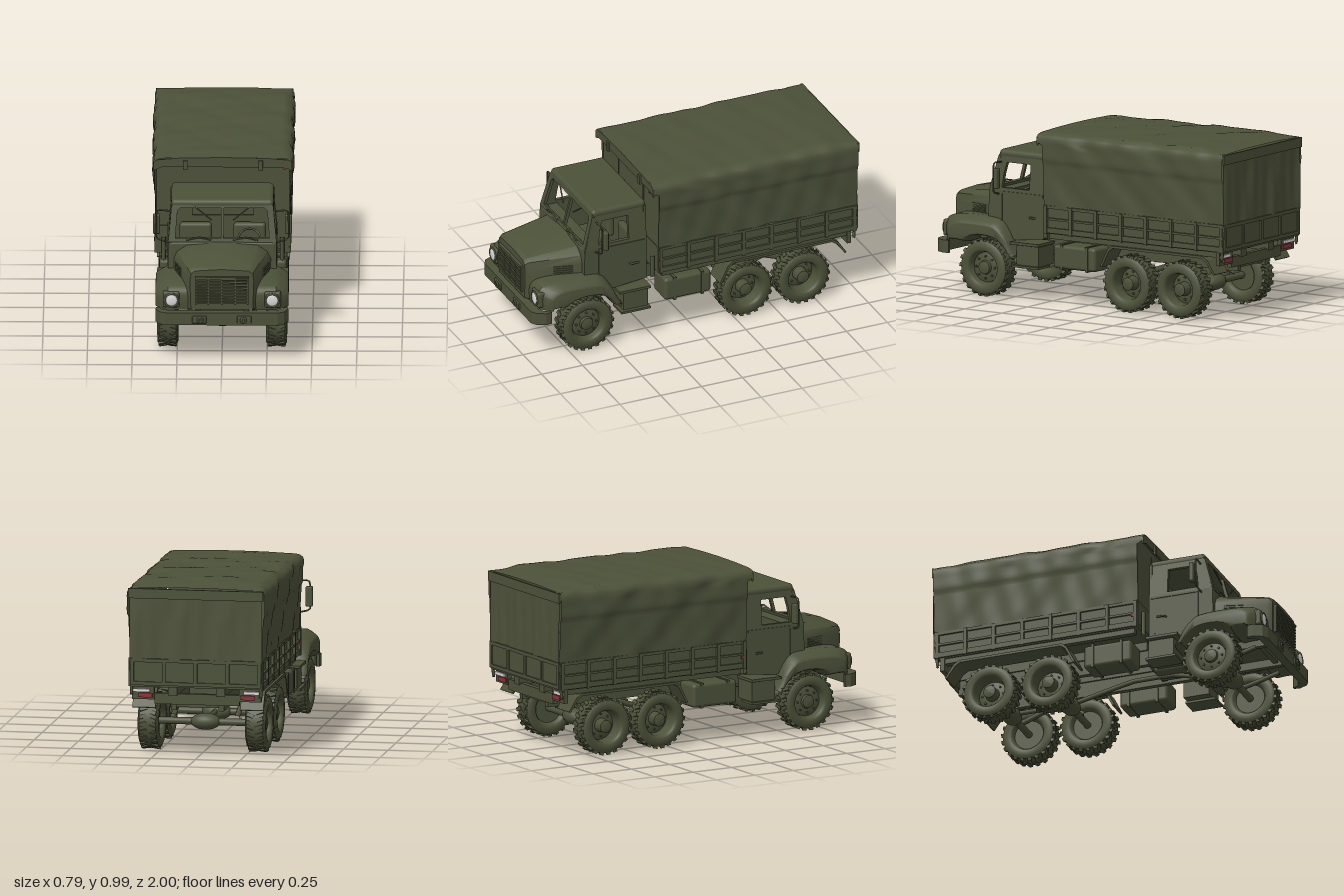
import * as THREE from 'three';
import { mergeGeometries, toCreasedNormals } from 'three/addons/utils/BufferGeometryUtils.js';
import { RoundedBoxGeometry } from 'three/addons/geometries/RoundedBoxGeometry.js';

const paint = (name, color, side = THREE.FrontSide) => {
  const m = new THREE.MeshStandardMaterial({ color, side });
  m.name = name;
  return m;
};
const V2 = (p) => new THREE.Vector2(p[0], p[1]);
const V3 = (p) => new THREE.Vector3(...p);
const SIDES = [-1, 1];

export function createModel() {
  const olive = paint('olivePaint', 0x4c5139);
  const canvas = paint('oliveCanvas', 0x4c5139, THREE.DoubleSide);
  const white = paint('whiteLens', 0xdcdcdc);
  const red = paint('redLens', 0x8c3038);
  const truck = new THREE.Group();
  truck.name = 'truck';

  const add = (name, geo, mat = olive, parent = truck) => {
    const m = new THREE.Mesh(geo, mat);
    m.name = name;
    parent.add(m);
    return m;
  };
  // box given by its limits on each axis
  const box = (name, [x0, x1], [y0, y1], [z0, z1], mat, r = 0) => {
    const s = [Math.abs(x1 - x0), y1 - y0, z1 - z0];
    const g = r ? new RoundedBoxGeometry(...s, 3, r) : new THREE.BoxGeometry(...s);
    return add(name, g.translate((x0 + x1) / 2, (y0 + y1) / 2, (z0 + z1) / 2), mat);
  };
  const rod = (name, pts, r) =>
    add(name, new THREE.TubeGeometry(new THREE.CatmullRomCurve3(pts.map(V3), false, 'catmullrom', 0.1), 16, r, 8));
  // (z, y) outline extruded between two x values
  const plateX = (shape, xa, xb, opts = {}) => {
    const b = opts.bevelThickness || 0;
    return new THREE.ExtrudeGeometry(shape, { depth: Math.abs(xb - xa) - 2 * b, bevelEnabled: b > 0, ...opts })
      .rotateY(-Math.PI / 2).translate(Math.max(xa, xb) - b, 0, 0);
  };
  const rect = (x0, x1, y0, y1) => [[x0, y0], [x1, y0], [x1, y1], [x0, y1]].map(V2);

  // ---------- wheels ----------
  const lugs = [];
  for (let i = 0; i < 44; i++) {
    const a = (i / 44) * Math.PI * 2, s = i % 2 ? 1 : -1;
    lugs.push(new THREE.BoxGeometry(0.014, 0.042, 0.022).rotateX(s * 0.35).rotateZ(-s * 0.12)
      .translate(0.1525, s * 0.027, 0).rotateY(a));
  }
  const lugGeo = mergeGeometries(lugs).rotateZ(-Math.PI / 2);
  const wheel = (side, z, rear) => {
    const d = rear ? -0.025 : 0.015;
    const prof = [[0, -0.03], [0.085, -0.03], [0.095, -0.052], [0.105, -0.058], [0.135, -0.058], [0.15, -0.047], [0.155, 0],
      [0.15, 0.047], [0.135, 0.058], [0.105, 0.058], [0.095, 0.052], [0.09, 0.04], [0.084, d], [0.05, d + 0.012],
      [0.04, d + 0.012], [0.036, 0.042], [0.015, 0.048], [0, 0.048]];
    const g = new THREE.Group();
    g.name = rear ? 'rearWheel' : 'frontWheel';
    add('tyreAndRim', toCreasedNormals(new THREE.LatheGeometry(prof.map(V2), 40).rotateZ(-Math.PI / 2), 0.7), olive, g);
    add('treadLugs', lugGeo, olive, g);
    const bolts = [];
    for (let i = 0; i < 8; i++)
      bolts.push(new THREE.CylinderGeometry(0.006, 0.006, 0.012, 6).translate(0.062, d + 0.012, 0).rotateY(i * Math.PI / 4));
    add('wheelBolts', mergeGeometries(bolts).rotateZ(-Math.PI / 2), olive, g);
    g.position.set(side * 0.303, 0.162, z);
    if (side < 0) g.rotation.y = Math.PI;
    truck.add(g);
  };
  for (const z of [0.65, -0.32, -0.67]) {
    for (const s of SIDES) wheel(s, z, z < 0);
    add('axle', new THREE.CylinderGeometry(0.02, 0.02, 0.54, 14).rotateZ(Math.PI / 2).translate(0, 0.162, z));
    add('differential', new THREE.SphereGeometry(1, 20, 14).scale(0.085, 0.047, 0.055).translate(0, 0.162, z));
  }

  // ---------- chassis ----------
  rod('driveShaft', [[0, 0.17, 0.62], [0, 0.25, 0.3], [0, 0.25, 0.05], [0, 0.17, -0.32], [0, 0.17, -0.66]], 0.014);
  box('gearbox', [-0.07, 0.07], [0.25, 0.36], [0.2, 0.5], olive, 0.02);
  for (const z of [0.86, 0.2, -0.5, -0.9]) box('crossMember', [-0.14, 0.14], [0.28, 0.34], [z - 0.015, z + 0.015]);
  for (const s of SIDES) {
    box('chassisRail', [s * 0.12, s * 0.15], [0.265, 0.355], [-0.93, 0.94]);
    rod('frontSpring', [[s * 0.18, 0.25, 0.86], [s * 0.18, 0.195, 0.65], [s * 0.18, 0.25, 0.45]], 0.014);
    rod('rearSpring', [[s * 0.18, 0.19, -0.3], [s * 0.18, 0.26, -0.495], [s * 0.18, 0.19, -0.69]], 0.016);
    box('sideTank', [s * 0.2, s * 0.355], [0.205, 0.34], [-0.105, 0.18], olive, 0.02);
    for (const z of [-0.05, 0.12]) box('tankStrap', [s * 0.198, s * 0.358], [0.202, 0.345], [z - 0.008, z + 0.008]);
    box('stepBox', [s * 0.2, s * 0.345], [0.2, 0.31], [0.28, 0.43]);
    box('upperStep', [s * 0.2, s * 0.365], [0.315, 0.33], [0.27, 0.46]);
    box('lowerStep', [s * 0.25, s * 0.365], [0.187, 0.2], [0.27, 0.45]);
    // rear mudguard: thin folded strip
    const guard = new THREE.Shape([[-0.15, 0.25], [-0.2, 0.35], [-0.23, 0.372], [-0.84, 0.372], [-0.875, 0.35], [-0.925, 0.275],
      [-0.915, 0.27], [-0.865, 0.338], [-0.835, 0.358], [-0.235, 0.358], [-0.21, 0.34], [-0.162, 0.245]].map(V2));
    add('rearMudguard', plateX(guard, s * 0.24, s * 0.37));
    // tail lamps
    box('lampBracket', [s * 0.24, s * 0.365], [0.325, 0.4], [-0.955, -0.93]);
    box('tailLamp', [s * 0.25, s * 0.33], [0.337, 0.362], [-0.964, -0.955], red);
    box('reverseLamp', [s * 0.265, s * 0.36], [0.367, 0.384], [-0.964, -0.955], white);
  }
  box('rearBeam', [-0.24, 0.24], [0.3, 0.36], [-0.95, -0.92]);

  // ---------- front bumper ----------
  const bump = [[0.365, 0.875], [0.37, 0.91], [0.345, 0.96], [0.31, 0.98]];
  const inner = [[0.3, 0.93], [0.335, 0.91], [0.35, 0.875]];
  const flip = (pts) => [...pts].reverse().map(([x, z]) => [-x, z]);
  const bumperShape = new THREE.Shape([...bump, ...flip(bump), ...flip(inner), ...inner].map(V2));
  add('frontBumper', new THREE.ExtrudeGeometry(bumperShape, { depth: 0.072, bevelEnabled: false })
    .rotateX(Math.PI / 2).translate(0, 0.298, 0));
  for (const s of SIDES) {
    box('towPlate', [s * 0.085, s * 0.165], [0.238, 0.28], [0.975, 0.988], olive, 0.005);
    add('towHook', new THREE.TorusGeometry(0.013, 0.006, 8, 16).translate(s * 0.12, 0.26, 0.992));
  }

  // ---------- bonnet ----------
  const section = (half, z) => [...half.map(([x, y]) => [x, y, z]), ...[...half].reverse().slice(1).map(([x, y]) => [-x, y, z])];
  const loft = (rings) => {
    const n = rings[0].length, idx = [];
    for (let r = 0; r < rings.length - 1; r++)
      for (let i = 0; i < n; i++) {
        const a = r * n + i, b = r * n + (i + 1) % n;
        idx.push(a, b, a + n, b, b + n, a + n);
      }
    const last = (rings.length - 1) * n;
    for (let i = 1; i < n - 1; i++) idx.push(0, i + 1, i, last, last + i, last + i + 1);
    const g = new THREE.BufferGeometry();
    g.setAttribute('position', new THREE.Float32BufferAttribute(rings.flat(2), 3));
    g.setIndex(idx);
    return toCreasedNormals(g, 0.5);
  };
  // rings run from front to back, each from the right foot over the top
  add('bonnet', loft([
    section([[-0.172, 0.31], [-0.178, 0.48], [-0.172, 0.52], [-0.15, 0.536], [0, 0.545]], 0.955),
    section([[-0.19, 0.31], [-0.195, 0.49], [-0.185, 0.535], [-0.16, 0.551], [0, 0.558]], 0.93),
    section([[-0.27, 0.31], [-0.275, 0.51], [-0.255, 0.55], [-0.2, 0.588], [0, 0.604]], 0.63),
  ]));
  for (let i = 0; i < 9; i++) box('grilleSlat', [-0.145, 0.145], [0.347 + i * 0.0175, 0.356 + i * 0.0175], [0.952, 0.97]);
  for (const x of [-0.145, -0.075, 0, 0.075, 0.145]) box('grilleBar', [x - 0.004, x + 0.004], [0.34, 0.5], [0.952, 0.967]);
  box('grilleTopFrame', [-0.15, 0.15], [0.497, 0.505], [0.95, 0.972]);
  for (const s of SIDES) for (let i = 0; i < 4; i++) {
    const l = box('bonnetLouvre', [-0.006, 0.006], [-0.004, 0.004], [-0.055, 0.055]);
    l.position.set(s * 0.242, 0.458 + i * 0.013, 0.75);
    l.rotation.y = -s * 0.27;
  }

  // ---------- front wings and headlights ----------
  for (const s of SIDES) {
    const wing = new THREE.Shape();
    wing.moveTo(0.93, 0.3);
    wing.splineThru([[0.935, 0.36], [0.925, 0.41], [0.88, 0.438], [0.78, 0.45], [0.62, 0.448], [0.55, 0.43], [0.5, 0.37], [0.46, 0.29], [0.435, 0.25]].map(V2));
    wing.lineTo(0.49, 0.25);
    wing.absarc(0.65, 0.163, 0.182, Math.PI * 0.84, Math.PI * 0.26, true);
    wing.lineTo(0.83, 0.3);
    const g = plateX(wing, s * 0.12, s * 0.37,
      { bevelSize: 0.02, bevelThickness: 0.07, bevelOffset: -0.02, bevelSegments: 6, curveSegments: 16 });
    // outer edge droops and the nose tapers
    const w = g.attributes.position;
    for (let i = 0; i < w.count; i++) {
      const t = Math.max(0, (Math.abs(w.getX(i)) - 0.3) / 0.07);
      w.setY(i, w.getY(i) - 0.028 * t * Math.max(0, Math.min(1, (w.getY(i) - 0.33) / 0.08)));
      w.setZ(i, w.getZ(i) - 0.045 * t * Math.max(0, Math.min(1, (w.getZ(i) - 0.8) / 0.1)));
    }
    add('frontWing', toCreasedNormals(g, 0.6));
    box('headlightBezel', [s * 0.236, s * 0.328], [0.315, 0.407], [0.88, 0.942], olive, 0.012);
    add('headlightRim', new THREE.TorusGeometry(0.037, 0.006, 8, 28).translate(s * 0.28, 0.36, 0.943));
    add('headlight', new THREE.SphereGeometry(0.036, 24, 12).scale(1, 1, 0.25).translate(s * 0.28, 0.36, 0.942), white);
  }

  // ---------- cab ----------
  const lean = (g, s) => {
    const p = g.attributes.position;
    for (let i = 0; i < p.count; i++) p.setX(i, p.getX(i) - s * (p.getY(i) - 0.6) * 0.1);
    g.computeVertexNormals();
    return g;
  };
  for (const s of SIDES) {
    const lower = new THREE.Shape([[0.268, 0.35], [0.47, 0.33], [0.56, 0.38], [0.65, 0.4], [0.645, 0.6], [0.268, 0.6]].map(V2));
    add('doorPanel', plateX(lower, s * 0.28, s * 0.302));
    const upper = new THREE.Shape([[0.268, 0.6], [0.64, 0.6], [0.58, 0.81], [0.268, 0.81]].map(V2));
    upper.holes.push(new THREE.Path([[0.375, 0.618], [0.375, 0.76], [0.535, 0.76], [0.55, 0.7], [0.56, 0.618]].map(V2)));
    add('windowFrame', lean(plateX(upper, s * 0.28, s * 0.302), s));
    box('doorRib', [s * 0.3, s * 0.307], [0.585, 0.598], [0.28, 0.56]);
    for (const z of [0.3, 0.555]) box('doorSeam', [s * 0.3, s * 0.305], [0.37, 0.59], [z, z + 0.006]);
    rod('doorHandle', [[s * 0.3, 0.465, 0.37], [s * 0.316, 0.466, 0.36], [s * 0.316, 0.466, 0.32]], 0.006);
    // mirror on its bracket
    rod('mirrorArm', [[s * 0.29, 0.76, 0.57], [s * 0.36, 0.765, 0.57], [s * 0.368, 0.74, 0.57], [s * 0.368, 0.6, 0.57], [s * 0.3, 0.58, 0.58]], 0.005);
    box('mirror', [s * 0.347, s * 0.387], [0.62, 0.735], [0.535, 0.562], olive, 0.008);
    // wipers and seat
    rod('wiper', [[s * 0.06, 0.615, 0.645], [s * 0.13, 0.63, 0.645], [s * 0.2, 0.615, 0.648]], 0.005);
    rod('wiperArm', [[s * 0.06, 0.72, 0.612], [s * 0.15, 0.79, 0.592]], 0.004);
    box('seatCushion', [s * 0.06, s * 0.24], [0.4, 0.46], [0.33, 0.5], olive, 0.02);
    box('seatBack', [s * 0.06, s * 0.24], [0.44, 0.61], [0.295, 0.34], olive, 0.018);
  }
  const screen = new THREE.Shape([[-0.3, 0], [0.3, 0], [0.284, 0.2], [0.26, 0.226], [-0.26, 0.226], [-0.284, 0.2]].map(V2));
  for (const s of SIDES)
    screen.holes.push(new THREE.Path([[s * 0.008, 0.02], [s * 0.262, 0.02], [s * 0.25, 0.175], [s * 0.235, 0.19], [s * 0.008, 0.19]].map(V2)));
  add('windscreenFrame', new THREE.ExtrudeGeometry(screen, { depth: 0.018, bevelEnabled: false })
    .rotateX(-0.266).translate(0, 0.597, 0.628));
  box('roof', [-0.285, 0.285], [0.782, 0.83], [0.264, 0.592], olive, 0.022);
  const back = new THREE.Shape(rect(-0.29, 0.29, 0.35, 0.8));
  back.holes.push(new THREE.Path(rect(-0.17, 0.17, 0.64, 0.755)));
  add('cabBack', new THREE.ExtrudeGeometry(back, { depth: 0.015, bevelEnabled: false }).translate(0, 0, 0.266));
  box('cabFloor', [-0.285, 0.285], [0.345, 0.365], [0.27, 0.64]);
  box('scuttle', [-0.298, 0.298], [0.4, 0.6], [0.605, 0.648], olive, 0.012);
  box('dashboard', [-0.28, 0.28], [0.51, 0.6], [0.55, 0.61]);
  add('steeringWheel', new THREE.TorusGeometry(0.06, 0.006, 8, 28).rotateX(-0.9).translate(0.15, 0.58, 0.5));
  rod('steeringColumn', [[0.15, 0.58, 0.5], [0.15, 0.5, 0.59]], 0.008);

  // ---------- cargo bed ----------
  box('bedFloor', [-0.365, 0.365], [0.4, 0.425], [-0.985, 0.225]);
  for (const s of SIDES) {
    box('bedBearer', [s * 0.11, s * 0.16], [0.35, 0.4], [-0.96, 0.2]);
    box('bedSideBeam', [s * 0.32, s * 0.355], [0.37, 0.4], [-0.95, 0.2]);
    box('sideBoard', [s * 0.35, s * 0.364], [0.42, 0.56], [-0.985, 0.225]);
    for (const [y, h] of [[0.405, 0.03], [0.478, 0.012], [0.543, 0.017]]) box('sideRail', [s * 0.355, s * 0.376], [y, y + h], [-0.985, 0.225]);
    for (let i = 0; i < 8; i++) box('sidePost', [s * 0.355, s * 0.38], [0.4, 0.56], [-0.98 + i * 0.169, -0.96 + i * 0.169]);
    rod('cornerRail', [[s * 0.365, 0.35, -0.97], [s * 0.365, 0.55, -0.985]], 0.009);
    rod('headPost', [[s * 0.33, 0.36, 0.245], [s * 0.33, 0.5, 0.245]], 0.012);
  }
  box('headBoard', [-0.365, 0.365], [0.42, 0.56], [0.21, 0.228]);
  box('tailgate', [-0.365, 0.365], [0.415, 0.56], [-0.985, -0.97]);
  for (const y of [0.41, 0.54]) box('tailgateRail', [-0.37, 0.37], [y, y + 0.02], [-0.994, -0.98]);
  for (let i = 0; i < 5; i++) box('tailgatePost', [-0.37 + i * 0.18, -0.35 + i * 0.18], [0.41, 0.56], [-0.994, -0.98]);
  box('sideReflector', [-0.384, -0.376], [0.462, 0.478], [0.19, 0.206], red);
  box('frontReflector', [0.338, 0.35], [0.903, 0.915], [0.266, 0.272], red);

  // ---------- canvas cover ----------
  const half = [[0.37, 0.55], [0.374, 0.65], [0.381, 0.79], [0.382, 0.806], [0.387, 0.81], [0.389, 0.88], [0.387, 0.935], [0.372, 0.957], [0.25, 0.968], [0, 0.972]];
  const hoop = new THREE.CatmullRomCurve3([...half.map(([x, y]) => V3([-x, y, 0])), ...[...half].reverse().slice(1).map(([x, y]) => V3([x, y, 0]))], false, 'centripetal');
  const wrinkle = (a, b) => Math.sin(a * 9 + b * 14) * 0.5 + Math.sin(a * 23 - b * 11 + 1.3) * 0.3 + Math.sin(b * 31 + a * 17) * 0.2;
  const cover = new THREE.PlaneGeometry(1, 1, 90, 60), p = cover.attributes.position;
  for (let i = 0; i < p.count; i++) {
    const c = hoop.getPointAt(p.getX(i) + 0.5), v = p.getY(i) + 0.5;
    const w = wrinkle(v * 2, c.x + c.y), sideways = Math.abs(c.x) > 0.365;
    const front = c.y > 0.9 ? 0.264 : 0.228;
    const fade = Math.sin(Math.PI * Math.min(1, v * 8) / 2) * Math.min(1, (1 - v) * 8);
    if (sideways) c.x += Math.sign(c.x) * w * 0.009 * fade;
    else c.y += fade * (0.002 + w * 0.005 + Math.sin(v * Math.PI * 8) * 0.002 + v * 0.012) - v ** 8 * 0.008;
    if (c.y < 0.6) c.y += w * 0.008;
    p.setXYZ(i, c.x, c.y, front + v * (-0.988 - front));
  }
  cover.computeVertexNormals();
  add('canvasCover', cover, canvas);
  // rear curtain with soft vertical folds
  const curtain = new THREE.PlaneGeometry(0.75, 0.4, 50, 16).rotateY(Math.PI).translate(0, 0.753, -0.986), q = curtain.attributes.position;
  for (let i = 0; i < q.count; i++) {
    const x = q.getX(i), y = q.getY(i);
    q.setZ(i, -0.986 + 0.008 * wrinkle(x * 3, y * 0.25) * Math.min(1, (0.955 - y) * 6));
  }
  curtain.computeVertexNormals();
  add('rearCurtain', curtain, canvas);
  box('rearValance', [-0.382, 0.382], [0.9, 0.955], [-0.998, -0.986], canvas);
  box('frontCurtain', [-0.37, 0.37], [0.555, 0.95], [0.214, 0.224], canvas);
  for (const x of [-0.165, 0.165]) box('curtainSeam', [x - 0.003, x + 0.003], [0.56, 0.91], [0.222, 0.228], canvas);
  const lip = new THREE.Shape([[-0.385, 0.895], [-0.34, 0.915], [0.34, 0.915], [0.385, 0.895], [0.386, 0.94], [0.37, 0.957], [0.25, 0.967], [0, 0.972], [-0.25, 0.967], [-0.37, 0.957], [-0.386, 0.94]].map(V2));
  add('frontValance', new THREE.ExtrudeGeometry(lip, { depth: 0.009, bevelEnabled: false }).translate(0, 0, 0.258), canvas);
  for (const s of SIDES) box('canvasStrap', [s * 0.198, s * 0.222], [0.9, 0.955], [0.262, 0.275], canvas);
  return truck;
}
